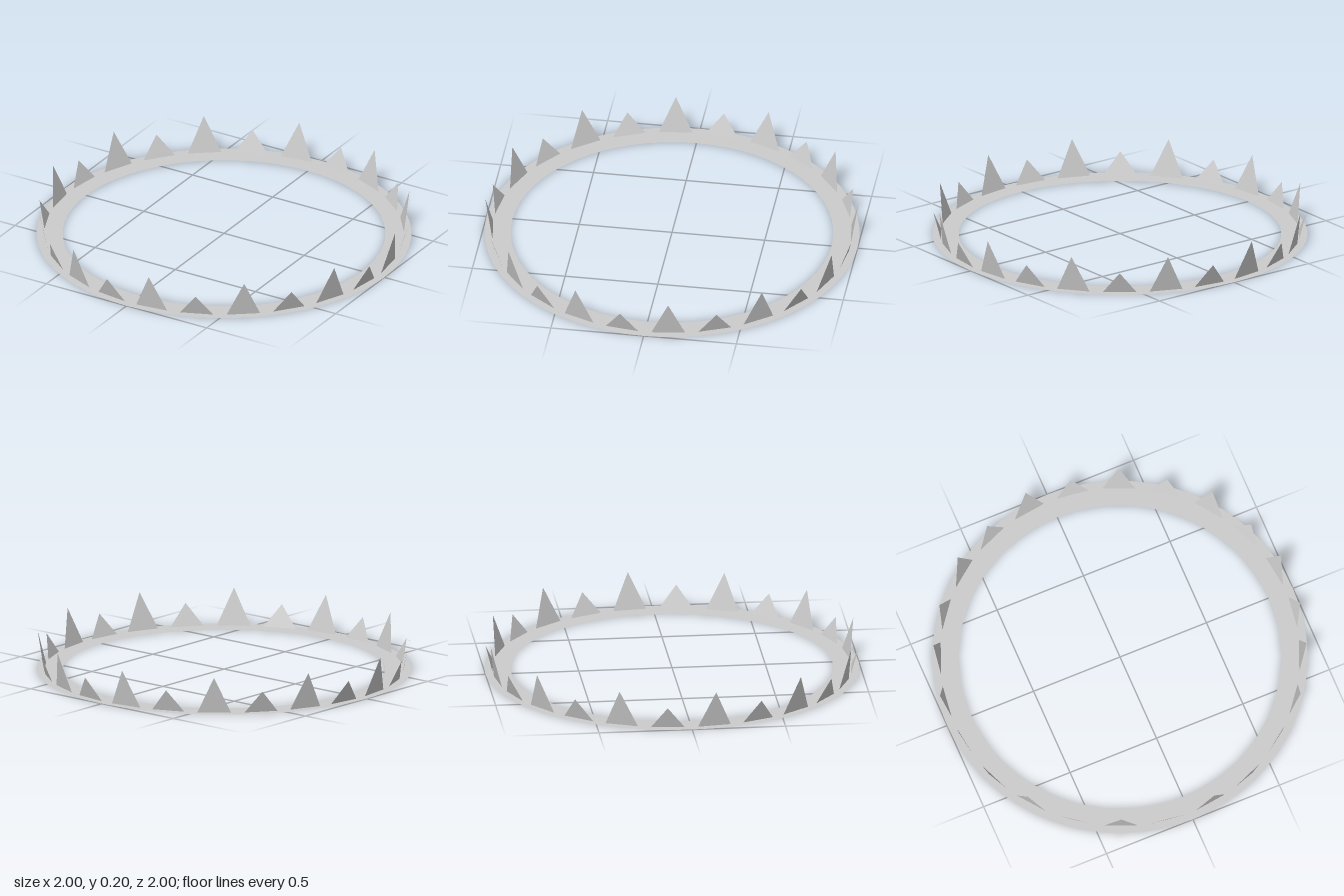
import * as THREE from 'three';

const SPIKES = 24;
const HALF_WIDTH = 0.09;
const BASE_RADIUS = 0.955;
const TIP_RADIUS = 0.995;

// Flat triangle leaning outward, its base on the ring
function spikeGeometry(height) {
  const geometry = new THREE.BufferGeometry();
  geometry.setAttribute('position', new THREE.Float32BufferAttribute([
    -HALF_WIDTH, 0, BASE_RADIUS,
    HALF_WIDTH, 0, BASE_RADIUS,
    0, height, TIP_RADIUS,
  ], 3));
  geometry.computeVertexNormals();
  return geometry;
}

export function createModel() {
  const group = new THREE.Group();
  group.name = 'spikedRing';

  const paleGrey = new THREE.MeshStandardMaterial({ color: 0xcccccc, side: THREE.DoubleSide });
  paleGrey.name = 'pale grey';

  // Flat ring lying on the ground
  const ring = new THREE.Mesh(new THREE.RingGeometry(0.86, 1, 64).rotateX(-Math.PI / 2), paleGrey);
  ring.name = 'ring';
  group.add(ring);

  // Tall and short spikes alternate around the ring
  const tall = spikeGeometry(0.2);
  const short = spikeGeometry(0.12);
  for (let i = 0; i < SPIKES; i++) {
    const isTall = i % 2 === 0;
    const spike = new THREE.Mesh(isTall ? tall : short, paleGrey);
    spike.name = isTall ? 'tallSpike' : 'shortSpike';
    spike.rotation.y = ((i + 0.5) / SPIKES) * Math.PI * 2;
    group.add(spike);
  }
  return group;
}
